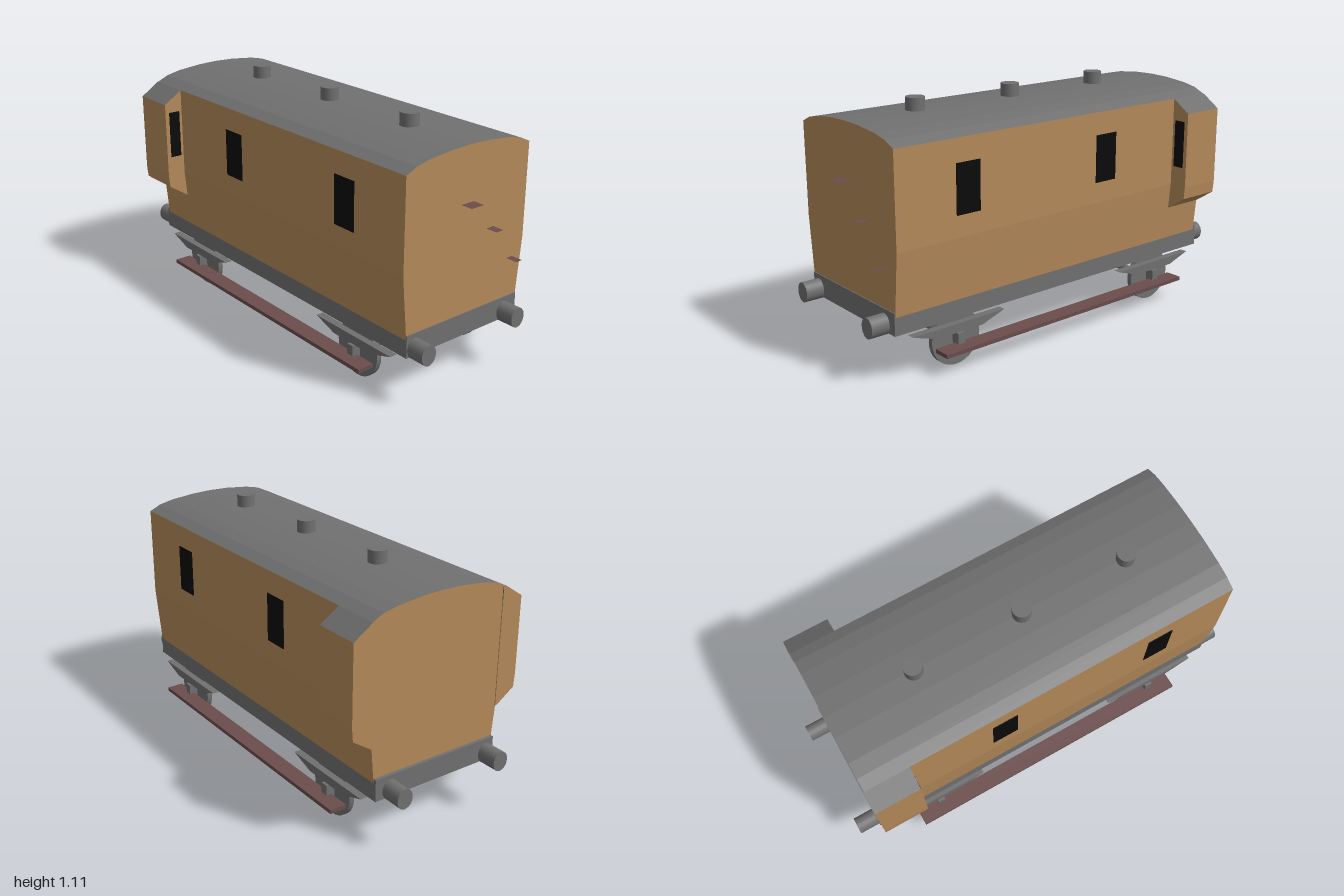
import * as THREE from 'three';

const paint = (name, color, extra = {}) => {
  const m = new THREE.MeshStandardMaterial({ color, ...extra });
  m.name = name;
  return m;
};

export function createModel() {
  const model = new THREE.Group();
  model.name = 'brakeVan';
  const wood = paint('tanWood', 0xb58a5a);
  const grey = paint('grey', 0x707070);
  const black = paint('black', 0x0a0a0a);
  const step = paint('brownStep', 0x6b4d4d, { side: THREE.DoubleSide });

  const add = (name, geometry, material, x = 0, y = 0, z = 0) => {
    const mesh = new THREE.Mesh(geometry, material);
    mesh.name = name;
    mesh.position.set(x, y, z);
    model.add(mesh);
    return mesh;
  };
  // Box given by its limits on each axis
  const box = (name, material, x0, x1, y0, y1, z0, z1) =>
    add(name, new THREE.BoxGeometry(x1 - x0, y1 - y0, z1 - z0), material,
      (x0 + x1) / 2, (y0 + y1) / 2, (z0 + z1) / 2);
  // Cross-section in x, y drawn out along z; side < 0 mirrors it
  const prism = (name, points, z0, z1, material, side = 1) => {
    const shape = new THREE.Shape(points.map(([x, y]) => new THREE.Vector2(side * x, y)));
    const geometry = new THREE.ExtrudeGeometry(shape, { depth: z1 - z0, bevelEnabled: false });
    return add(name, geometry, material, 0, 0, z0);
  };

  // Body with walls that curve in towards the floor
  const wall = [[0.32, 0.3], [0.327, 0.38], [0.338, 0.5], [0.345, 0.58], [0.345, 1]];
  const mirrored = wall.map(([x, y]) => [-x, y]).reverse();
  prism('body', [...wall, ...mirrored], -0.89, 0.912, wood);

  // Arched roof: wooden ends, grey top
  const arch = [[0.345, 1], [0.29, 1.025], [0.22, 1.04], [0.1, 1.052], [0, 1.055]];
  const archLeft = arch.slice(0, -1).map(([x, y]) => [-x, y]).reverse();
  prism('roof', [...arch, ...archLeft], -0.89, 0.912, [wood, grey]);

  for (const z of [-0.475, 0.045, 0.565]) {
    add('roofVent', new THREE.CylinderGeometry(0.042, 0.042, 0.07, 24), grey, -0.005, 1.077, z);
  }

  // Underframe and buffer beams
  box('underframe', grey, -0.32, 0.32, 0.22, 0.302, -0.89, 0.91);
  box('frontBufferBeam', grey, -0.32, 0.32, 0.22, 0.32, 0.9, 0.916);
  box('rearBufferBeam', grey, -0.32, 0.32, 0.22, 0.32, -0.905, -0.88);
  for (const z of [-0.95, 0.95]) {
    for (const x of [-0.277, 0.245]) {
      const buffer = add('buffer', new THREE.CylinderGeometry(0.039, 0.039, 0.1, 24), grey, x, 0.255, z);
      buffer.rotation.x = Math.PI / 2;
      buffer.scale.z = 1.17;
    }
  }

  for (const side of [-1, 1]) {
    // Lookout near the rear with a sloping top and a forward window
    prism('lookout', [[0.33, 0.46], [0.337, 0.46], [0.43, 0.522], [0.435, 0.58], [0.435, 0.94], [0.33, 0.94]],
      -0.894, -0.68, wood, side);
    prism('lookoutRoof', [[0.33, 0.94], [0.435, 0.94], [0.345, 1], [0.33, 1]],
      -0.894, -0.68, [wood, grey], side);
    box('lookoutWindow', black, side * 0.3875 - 0.0275, side * 0.3875 + 0.0275, 0.674, 0.898, -0.682, -0.677);

    // Side windows
    for (const z of [0.555, -0.23]) {
      box('sideWindow', black, side * 0.345 - 0.003, side * 0.345 + 0.003, 0.676, 0.896, z - 0.061, z + 0.061);
    }

    // Footboard
    box('footboard', step, side * 0.36 - 0.04, side * 0.36 + 0.04, 0.092, 0.11, -0.712, 0.718);

    for (const z of [0.6, -0.59]) {
      const wheel = add('wheel', new THREE.CylinderGeometry(0.125, 0.125, 0.024, 32), grey, side * 0.292, 0.127, z);
      wheel.rotation.z = Math.PI / 2;
      box('axleBox', grey, side * 0.323 - 0.023, side * 0.323 + 0.023, 0.092, 0.158, z - 0.018, z + 0.018);

      // Leaf spring, longest at the top
      const leaf = new THREE.Shape([[-0.12, 0.16], [0.12, 0.16], [0.24, 0.2], [-0.24, 0.2]]
        .map(([u, v]) => new THREE.Vector2(u, v)));
      const spring = new THREE.ExtrudeGeometry(leaf, { depth: 0.036, bevelEnabled: false });
      spring.translate(0, 0, -0.018).rotateY(Math.PI / 2);
      add('leafSpring', spring, grey, side * 0.317, 0, z);
    }
  }

  // Axles
  for (const z of [0.6, -0.59]) {
    const axle = add('axle', new THREE.CylinderGeometry(0.016, 0.016, 0.48, 16), grey, 0, 0.115, z);
    axle.rotation.z = Math.PI / 2;
  }

  // Thin brackets stepping down the front end
  for (const [x, y, width] of [[-0.005, 0.81, 0.07], [0.135, 0.67, 0.042], [0.267, 0.5, 0.036]]) {
    const bracket = add('endBracket', new THREE.PlaneGeometry(width, 0.056), step, x, y, 0.94);
    bracket.rotation.x = -Math.PI / 2;
  }

  return model;
}
